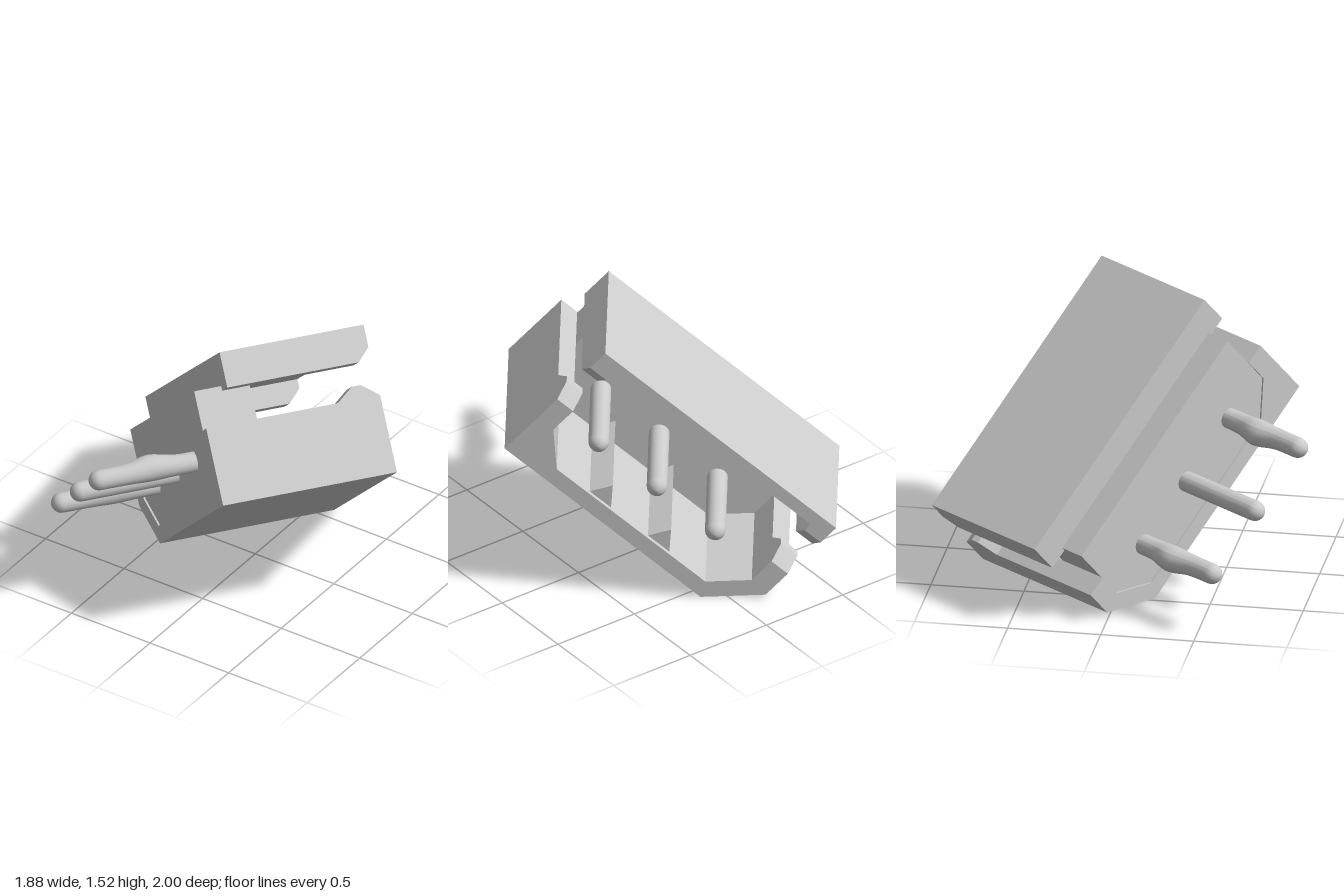
import * as THREE from 'three';

const grey = new THREE.MeshStandardMaterial({ color: 0xcccccc });

const L0 = -0.435, L1 = 1.195;   // housing ends
const I0 = -0.32, I1 = 1.083;    // cavity ends

function extrude(points, depth) {
  const shape = new THREE.Shape(points.map(([x, y]) => new THREE.Vector2(x, y)));
  return new THREE.ExtrudeGeometry(shape, { depth, bevelEnabled: false });
}

function part(name, geometry) {
  const mesh = new THREE.Mesh(geometry, grey);
  mesh.name = name;
  return mesh;
}

// Cross-section (x, y) drawn out along the pin axis from z0 to z1
function alongPins(name, points, z0, z1) {
  return part(name, extrude(points, z1 - z0).translate(0, 0, z0));
}

// Side profile (z, y) drawn out along the row from x0 to x1
function alongRow(name, points, x0, x1) {
  return part(name, extrude(points, x1 - x0).rotateY(-Math.PI / 2).translate(x1, 0, 0));
}

const rect = (x0, y0, x1, y1) => [[x0, y0], [x1, y0], [x1, y1], [x0, y1]];

// Round-ended pin; kinked pins swell and bend a little outside the housing
function makePin(x, kinked) {
  const r = 0.055, back = -0.971, front = 0.383;
  const bump = z => (kinked ? Math.exp(-(((z + 0.68) / 0.095) ** 2)) : 0);
  const profile = [];
  for (let i = 0; i <= 6; i++) {
    const a = (i / 6) * Math.PI / 2;
    profile.push(new THREE.Vector2(r * Math.sin(a), back - r * Math.cos(a)));
  }
  for (let i = 1; i <= 24; i++) {
    const z = back + (0.55 * i) / 24;
    profile.push(new THREE.Vector2(r + 0.017 * bump(z), z));
  }
  for (let i = 0; i <= 6; i++) {
    const a = (i / 6) * Math.PI / 2;
    profile.push(new THREE.Vector2(r * Math.cos(a), front + r * Math.sin(a)));
  }
  const geo = new THREE.LatheGeometry(profile, 24).rotateX(Math.PI / 2);
  const pos = geo.attributes.position;
  for (let i = 0; i < pos.count; i++) {
    const s = 0.02 * bump(pos.getZ(i));
    pos.setXY(i, pos.getX(i) - 0.75 * s, pos.getY(i) - 0.66 * s);
  }
  geo.computeVertexNormals();
  const pin = part(kinked ? 'kinkedPin' : 'straightPin', geo);
  pin.position.set(x, -0.465, 0);
  return pin;
}

export function createModel() {
  const model = new THREE.Group();
  model.name = 'pinHeader';
  const body = new THREE.Group();
  body.name = 'connector';

  // Floor block that carries the pins
  body.add(alongPins('base', [
    [I0, -0.805], [I1, -0.805], [I1, -0.25], [-0.15, -0.25], [I0, -0.43],
  ], -0.435, -0.13));
  body.add(alongPins('baseShoulder', rect(I0, -0.91, I1, -0.8), -0.284, -0.13));

  // Deep wall with one outer chamfer, and a cavity chamfered at both ends
  body.add(alongPins('deepWall', [
    [L0, -0.588], [L0, -0.41], [-0.19, -0.168], [L1, -0.168], [L1, -0.588],
    [I1, -0.588], [I1, -0.43], [0.905, -0.257], [-0.145, -0.257], [I0, -0.43], [I0, -0.588],
  ], -0.445, 0.526));

  // Shallow wall
  body.add(alongPins('shallowWall', rect(L0, -0.972, L1, -0.9), -0.284, 0.52));

  // End lips and snap hooks, one of each per end
  for (const [x0, x1] of [[L0, I0], [I1, L1]]) {
    body.add(alongRow('endLip', [
      [-0.284, -0.972], [-0.284, -0.78], [0.45, -0.78], [0.52, -0.85], [0.52, -0.972],
    ], x0, x1));
    body.add(alongRow('snapHook', [
      [0.29, -0.588], [0.385, -0.66], [0.433, -0.66], [0.526, -0.588],
    ], x0, x1));
  }

  // Triangular ribs between the pins
  for (const x of [0.185, 0.597]) {
    body.add(alongPins('rib', [[x - 0.08, -0.25], [x + 0.08, -0.25], [x + 0.01, -0.367]], -0.14, 0.5));
  }

  // Pin row
  [-1, 0, 1].forEach(i => body.add(makePin(0.385 + i * 0.412, i !== 0)));

  // Tilt: x runs along the row, y across it, z towards the open side
  const open = new THREE.Vector3(0.608, 0, -0.794).normalize();
  const row = new THREE.Vector3(0.594, 0.663, 0.455).normalize();
  const across = new THREE.Vector3().crossVectors(open, row).normalize();
  row.crossVectors(across, open);
  body.quaternion.setFromRotationMatrix(new THREE.Matrix4().makeBasis(row, across, open));

  model.add(body);
  return model;
}
